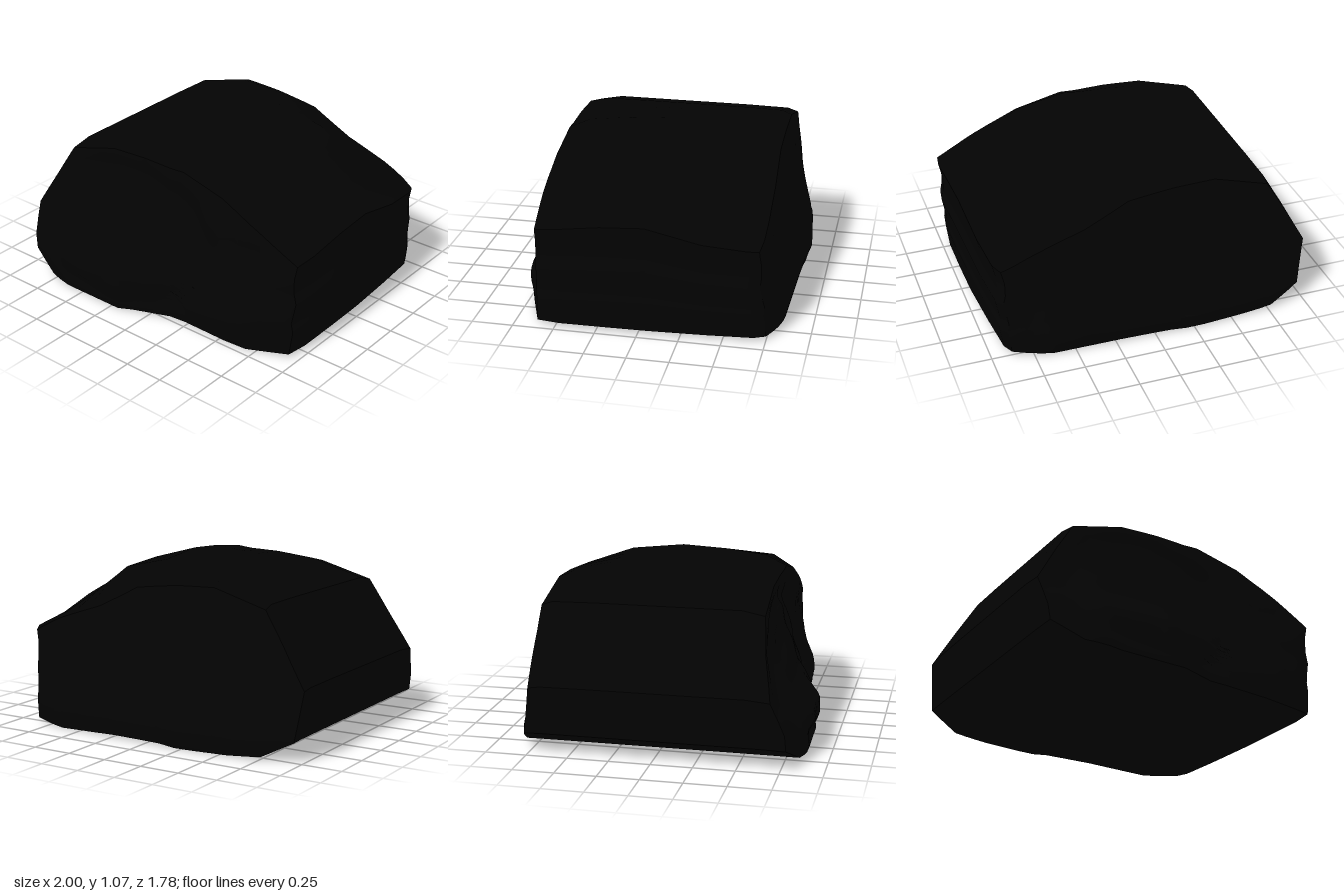
import * as THREE from 'three';
import { toCreasedNormals } from 'three/addons/utils/BufferGeometryUtils.js';

// Outline seen from the front, counterclockwise from bottom left
const OUTLINE = [
  [-0.96, 0.13], [-0.77, 0.03], [-0.55, 0.01], [-0.2, 0.005], [-0.1, 0.02], [0.25, 0.025],
  [0.7, 0.005], [0.96, 0.03], [0.98, 0.2], [0.97, 0.27], [0.995, 0.42], [0.98, 0.5], [0.98, 0.6],
  [1, 0.7], [0.75, 0.84], [0.45, 0.99], [0.15, 1.07], [-0.15, 1.03], [-0.4, 0.98],
  [-0.74, 0.88], [-0.86, 0.68], [-1, 0.43],
];
// Depth of the front and back faces by height, and their reach by x
const FRONT_BY_Y = [[0, 0.85], [0.03, 0.87], [0.15, 0.89], [0.24, 0.88], [0.43, 0.75], [0.64, 0.66], [0.86, 0.62], [0.97, 0.61]];
const FRONT_BY_X = [[-1, 0.77], [-0.75, 0.86], [-0.65, 0.89], [-0.2, 0.885], [0.15, 0.74], [0.65, 0.73], [0.97, 0.6]];
const BACK_BY_Y = [[0, 0.84], [0.02, 0.86], [0.12, 0.89], [0.45, 0.78], [0.7, 0.73], [0.97, 0.71]];
const BACK_BY_X = [[-1, 0.76], [-0.76, 0.84], [-0.25, 0.89], [-0.07, 0.87], [0.66, 0.85], [0.87, 0.76], [0.91, 0.71]];
// Height factors from back (0) to front (1): left flank, crown, right flank, right edge
const STATIONS = [-0.4, 0.1, 0.45, 0.85];
const HEIGHT = [
  [0, 0.97, 0.86, 0.78, 0.82], [0.05, 0.995, 0.89, 0.81, 0.84], [0.25, 1, 0.965, 0.98, 0.88], [0.5, 1, 1, 1, 1],
  [0.7, 1, 0.985, 1, 0.98], [0.9, 1, 0.955, 0.98, 0.93], [1, 0.97, 0.9, 0.9, 0.9],
];
// Width factor of the +x side from back to front
const SIDE = [[0, 0.91], [0.05, 0.945], [0.25, 0.97], [0.5, 0.995], [0.7, 1], [0.9, 1], [1, 0.98]];

function sample(table, v, column = 1) {
  if (v <= table[0][0]) return table[0][column];
  for (let i = 1; i < table.length; i++) {
    const a = table[i - 1], b = table[i];
    if (v <= b[0]) return a[column] + (b[column] - a[column]) * (v - a[0]) / (b[0] - a[0]);
  }
  return table[table.length - 1][column];
}

const frontZ = (x, y) => 0.6 + (sample(FRONT_BY_Y, y) - 0.6) * (sample(FRONT_BY_X, x) - 0.6) / 0.29;
const backZ = (x, y) => -(0.7 + (sample(BACK_BY_Y, y) - 0.7) * (sample(BACK_BY_X, x) - 0.7) / 0.19);

// Outline point as it lies at fraction t from back to front
function place([x, y], t) {
  const factors = STATIONS.map((s, k) => [s, sample(HEIGHT, t, k + 1)]);
  return [x > 0 ? x * sample(SIDE, t) : x, y * sample(factors, x)];
}

// Creases around a bulging lobe plus small wrinkles
function folds(x, y) {
  const e = Math.hypot((x + 0.25) / 0.58, (y - 0.45) / 0.4);
  const lip = -0.03 * Math.exp(-(((e - 1) / 0.12) ** 2));
  return lip - 0.003 + 0.007 * Math.sin(13 * x + 9 * y + 3 * Math.sin(6 * x)) + 0.005 * Math.sin(24 * y - 5 * x);
}

// Outline with extra points along each edge
const RING = OUTLINE.flatMap(([x, y], i) => {
  const [u, v] = OUTLINE[(i + 1) % OUTLINE.length];
  return [0, 1, 2].map(k => [x + (u - x) * k / 3, y + (v - y) * k / 3]);
});

// Joins rows of points, ordered from back to front, into a surface
function skin(name, rows, crease, material) {
  const n = RING.length, index = [];
  for (let j = 0; j < rows.length - 1; j++) {
    for (let i = 0; i < n; i++) {
      const a = j * n + i, b = j * n + (i + 1) % n;
      index.push(a, b, a + n, b, b + n, a + n);
    }
  }
  const geometry = new THREE.BufferGeometry();
  geometry.setAttribute('position', new THREE.Float32BufferAttribute(rows.flat(2), 3));
  geometry.setIndex(index);
  const mesh = new THREE.Mesh(toCreasedNormals(geometry, crease), material);
  mesh.name = name;
  return mesh;
}

// Ring of an end face, shrunk by s towards its middle
function faceRow(s, t, depth, wrinkle) {
  return RING.map(p => {
    const [px, py] = place(p, t);
    const x = -0.05 + (px + 0.05) * s, y = 0.42 + (py - 0.42) * s;
    return [x, y, depth(x, y) + wrinkle * Math.min(1, (1 - s) * 4) * folds(x, y)];
  });
}

export function createModel() {
  const group = new THREE.Group();
  group.name = 'stuffedBundle';
  const black = new THREE.MeshStandardMaterial({ color: 0x030303 });

  // Domed top, sides and underside
  const body = HEIGHT.map(([t]) => RING.map(p => {
    const z = THREE.MathUtils.lerp(backZ(...place(p, 0)), frontZ(...place(p, 1)), t);
    return [...place(p, t), z];
  }));
  group.add(skin('body', body, 0.35, black));

  // Sloping end faces, the front one creased
  const steps = Array.from({ length: 19 }, (_, i) => 1 - i / 18);
  group.add(skin('foldedFront', steps.map(s => faceRow(s, 1, frontZ, 1)), 1, black));
  group.add(skin('back', steps.map(s => faceRow(s, 0, backZ, 0)).reverse(), 0.35, black));
  return group;
}
